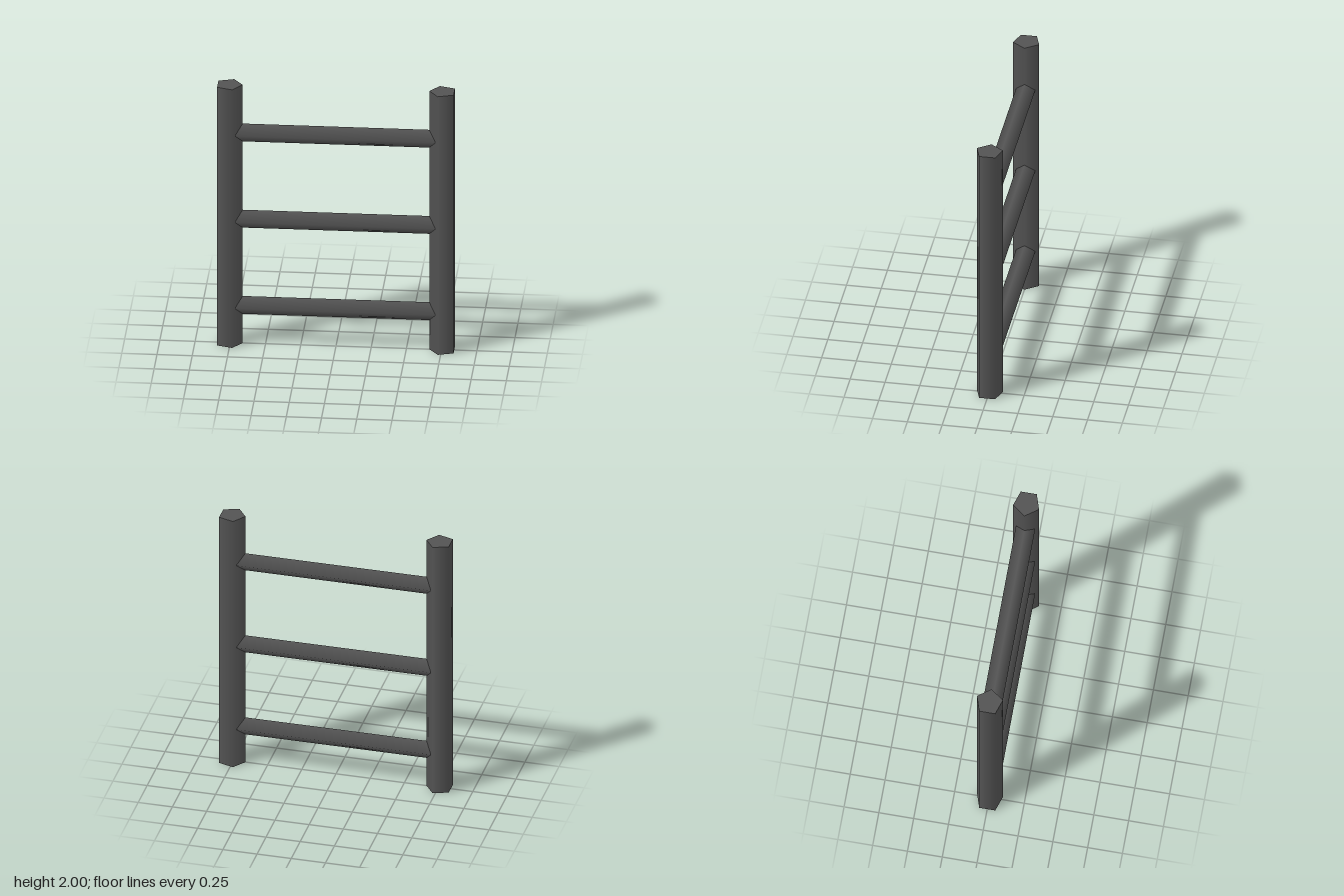
import * as THREE from 'three';

export function createModel() {
  const model = new THREE.Group();
  model.name = 'ladderSection';

  const darkMetal = new THREE.MeshStandardMaterial({ color: 0x545454 });
  darkMetal.name = 'darkGrey';

  // five-sided upright posts, each with one edge pointing inward
  for (const side of [1, -1]) {
    const geometry = new THREE.CylinderGeometry(0.098, 0.098, 2, 5, 1, false, -side * Math.PI / 2);
    const post = new THREE.Mesh(geometry, darkMetal);
    post.name = side > 0 ? 'leftPost' : 'rightPost';
    post.position.set(side * 0.76, 1, 0);
    model.add(post);
  }

  // four-sided rungs, edges facing up, down, front and back
  const rungGeometry = new THREE.CylinderGeometry(0.069, 0.069, 1.52, 4);
  rungGeometry.rotateZ(Math.PI / 2);
  for (let i = 0; i < 3; i++) {
    const rung = new THREE.Mesh(rungGeometry, darkMetal);
    rung.name = `rung${i + 1}`;
    rung.position.y = 0.295 + i * 0.668;
    model.add(rung);
  }

  return model;
}
